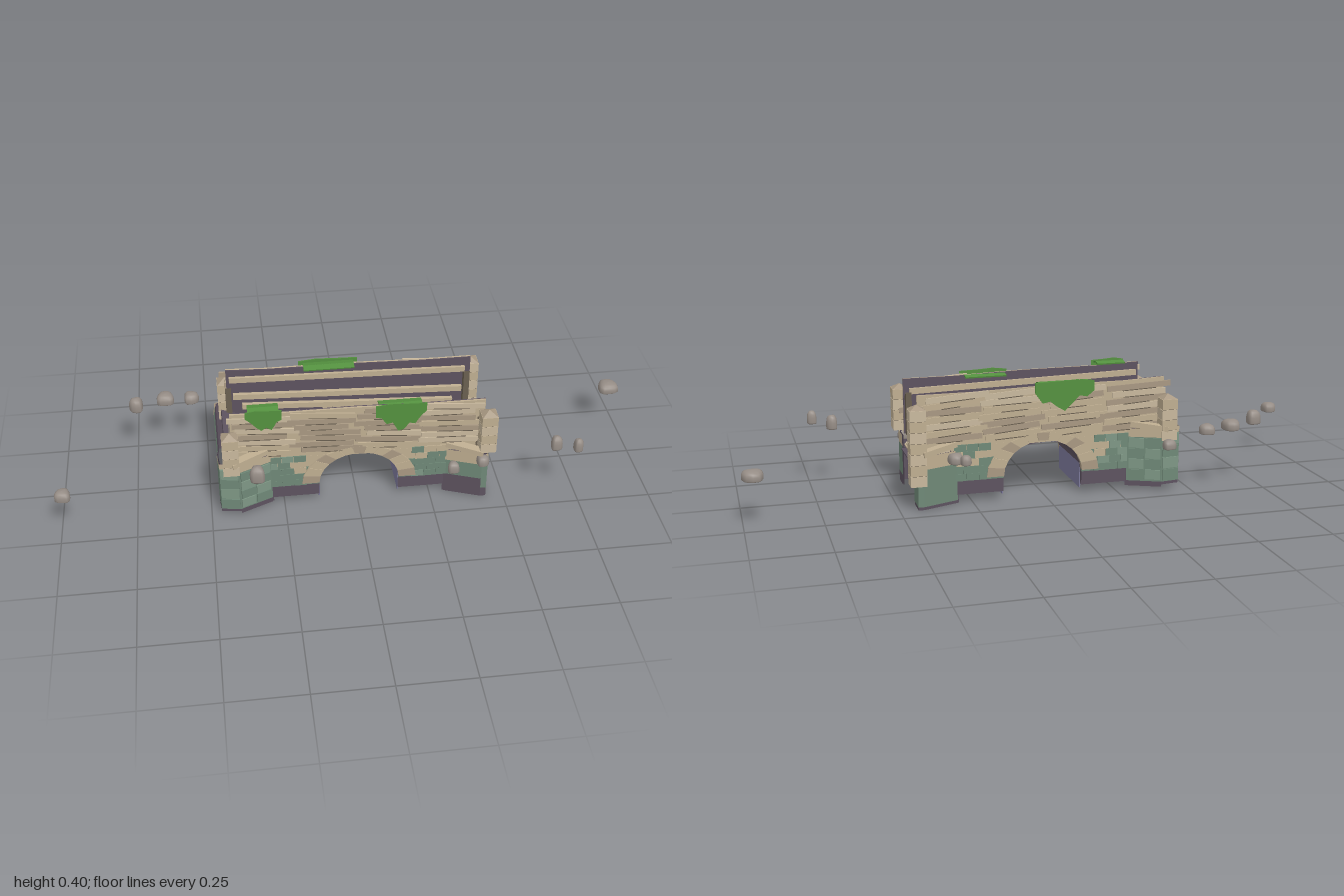
import * as THREE from 'three';

const mat = (name, color, flat = true) => {
  const m = new THREE.MeshStandardMaterial({ color, side: THREE.DoubleSide });
  m.name = name;
  m.flatShading = flat;
  return m;
};

export function createModel() {
  const root = new THREE.Group();
  root.name = 'ruinedBridge';
  const tan = mat('tan stone', 0xbfae91), pale = mat('pale stone', 0xc8b89d), dim = mat('worn stone', 0xa89882);
  const moss = mat('mossy stone', 0x6f8877), mossLight = mat('pale mossy stone', 0x7e9785);
  const purple = mat('dark purple', 0x5d525f), blue = mat('slate blue', 0x7c799a);
  const ivy = mat('ivy green', 0x54913f), rockMat = mat('rock grey', 0x968d86, false), joint = mat('joint brown', 0x6a5f50);

  let seed = 7;
  const rnd = () => (seed = (seed * 16807) % 2147483647) / 2147483647;
  const add = (name, geo, m) => {
    const mesh = new THREE.Mesh(geo, m);
    mesh.name = name;
    root.add(mesh);
    return mesh;
  };
  const box = (name, m, w, h, d, x, y, z, rz = 0) => {
    const mesh = add(name, new THREE.BoxGeometry(w, h, d), m);
    mesh.position.set(x, y, z);
    mesh.rotation.z = rz;
    return mesh;
  };
  // Upright plate from an outline in x and y, centred on z
  const plate = (name, m, pts, z, depth) => {
    const shape = new THREE.Shape(pts.map(p => new THREE.Vector2(p[0], p[1])));
    const geo = new THREE.ExtrudeGeometry(shape, { depth, bevelEnabled: false });
    return add(name, geo.translate(0, 0, z - depth / 2), m);
  };
  // Upright sheet following a path of [x, z] points
  const sheet = (name, m, path, y0, y1) => {
    const pos = [], idx = [];
    path.forEach(([x, z], i) => {
      pos.push(x, y0, z, x, y1, z);
      if (i) idx.push(2 * i - 2, 2 * i, 2 * i + 1, 2 * i - 2, 2 * i + 1, 2 * i - 1);
    });
    const geo = new THREE.BufferGeometry();
    geo.setAttribute('position', new THREE.Float32BufferAttribute(pos, 3));
    geo.setIndex(idx);
    geo.computeVertexNormals();
    return add(name, geo, m);
  };

  // Arch opening and sloping heights
  const AX = 0.136, AY = 0.115, AC = 0.08, CX = 0.006;
  const archX = y => y <= AC ? AX : AX * Math.sqrt(Math.max(0, 1 - ((y - AC) / AY) ** 2));
  const profile = [[-0.37, 0.2], [0, 0.198], [0.34, 0.168], [0.43, 0.143]];
  const deckY = x => {
    let i = 0;
    while (i < 2 && x > profile[i + 1][0]) i++;
    const [a, b] = [profile[i], profile[i + 1]];
    return a[1] + (b[1] - a[1]) * (x - a[0]) / (b[0] - a[0]);
  };
  const topY = x => 0.38 - 0.016 * x;

  // Deck slab, bedding and paving
  for (let i = 0; i < 3; i++) {
    const [a, b] = [profile[i], profile[i + 1]];
    const w = Math.hypot(b[0] - a[0], b[1] - a[1]), tilt = Math.atan2(b[1] - a[1], b[0] - a[0]);
    const x = (a[0] + b[0]) / 2, y = (a[1] + b[1]) / 2;
    box('deckSlab', purple, w, 0.006, 0.245, x, y - 0.011, 0, tilt);
    box('deckBedding', tan, w, 0.006, 0.245, x, y - 0.002, 0, tilt);
  }
  const COLS = 14, STEP = 0.79 / COLS;
  for (let j = 0; j < 6; j++) for (let i = 0; i < COLS; i++) {
    const x = -0.362 + STEP * (i + 0.5);
    const slope = Math.atan2(deckY(x + 0.02) - deckY(x - 0.02), 0.04);
    box('paver', rnd() < 0.75 ? tan : pale, STEP - 0.0008, 0.008, 0.0378,
      x, deckY(x) + 0.002 + rnd() * 0.0025, (j - 2.5) * 0.0385, slope);
  }
  box('apron', tan, 0.04, 0.012, 0.27, 0.405, 0.143, 0, -0.3);
  box('endSill', purple, 0.022, 0.005, 0.21, 0.433, 0.132, 0);
  box('raisedEnd', purple, 0.088, 0.008, 0.22, -0.402, 0.216, 0, -0.37);

  // Abutment faces
  for (const [x, top] of [[-0.3, 0.185], [CX - AX, AC + 0.02], [CX + AX, AC + 0.02], [0.31, 0.15]])
    box('abutmentFace', blue, 0.004, top - 0.012, 0.24, x, (top + 0.012) / 2, 0.004);
  // Arch soffit
  const soffit = new THREE.CylinderGeometry(1, 1, 0.25, 20, 1, true, Math.PI / 2, Math.PI);
  soffit.rotateX(Math.PI / 2).scale(AX, AY, 1);
  add('archSoffit', soffit, purple).position.set(CX, AC, 0);

  for (const s of [1, -1]) {
    // Wall bands beside the arch
    const band = (name, m, dir, outer, y0, y1, z, depth) => {
      const pts = [[outer, y0]];
      for (let k = 0; k <= 8; k++) {
        const y = y0 + (y1 - y0) * k / 8;
        pts.push([CX + dir * archX(y), y]);
      }
      pts.push([outer, y1]);
      plate(name, m, pts, z, depth);
    };
    for (const [dir, outer] of [[-1, -0.31], [1, 0.32]]) {
      band('wallBase', purple, dir, outer, 0.027, 0.074, s * 0.128, 0.01);
      band('wallMoss', moss, dir, outer, 0.074, 0.15, s * 0.129, 0.012);
      band('wallUpper', tan, dir, outer, 0.15, 0.195, s * 0.129, 0.012);
      band('wallLining', purple, dir, outer, 0.027, 0.195, s * 0.12, 0.004);
      // Single blocks, mossy higher up on the raised side
      for (let r = 0; r < 5; r++) for (let c = 0; c < 3; c++) {
        const y = 0.0865 + r * 0.025, x = CX + dir * (0.2 + c * 0.042 + (r % 2) * 0.012);
        const mossy = r < 2 || (dir < 0 && c > 0);
        const m = mossy ? (rnd() < 0.4 ? mossLight : moss) : (rnd() < 0.25 ? moss : tan);
        box('wallBlock', m, 0.041, 0.0245, 0.006, x, y, s * (0.1335 + rnd() * 0.002));
      }
    }
    // Arch ring stones
    const N = 13;
    for (let i = 0; i < N; i++) {
      const a = Math.PI * (i + 0.02) / N, b = Math.PI * (i + 0.98) / N;
      const p = (t, rx, ry) => [CX + rx * Math.cos(t), AC + ry * Math.sin(t)];
      plate('archStone', i % 3 ? tan : dim,
        [p(a, AX, AY), p(a, 0.195, 0.142), p(b, 0.195, 0.142), p(b, AX, AY)], s * 0.131, 0.018);
    }

    // Parapet: stone outside, dark lining inside
    const outline = [[-0.42, 0.195], [0.43, 0.18], [0.43, topY(0.43)], [0.25, topY(0.25) - 0.003],
      [0, topY(0)], [-0.28, topY(-0.28) - 0.004], [-0.42, topY(-0.42)]];
    plate('parapet', tan, outline, s * 0.131, 0.007);
    plate('parapetLining', purple, outline, s * 0.1255, 0.004);
    // Weathered courses on the outer face
    for (let r = 0; r < 7; r++) for (let c = 0; c < 4; c++) {
      const x = -0.315 + c * 0.21 + (rnd() - 0.5) * 0.04, y = 0.222 + r * 0.023;
      const tilt = -0.02 - rnd() * 0.07;
      box('parapetCourse', [tan, pale, dim][Math.floor(rnd() * 3)], 0.18 + rnd() * 0.05, 0.019, 0.007,
        x, y, s * 0.136, tilt);
      box('courseGap', joint, 0.06 + rnd() * 0.08, 0.003, 0.004, x, y - 0.011, s * 0.138, tilt);
    }
    // Inner rails
    for (const [y, z, tilt, w] of [[0.34, 0.12, -0.025, 0.82], [0.27, 0.112, -0.04, 0.8], [0.222, 0.115, -0.05, 0.74]])
      box('innerRail', tan, w, 0.02, 0.014, 0, y, s * z, tilt);

    // Splayed wing walls with dark inner faces
    const flip = path => path.map(([x, z]) => [x, s * z]);
    const left = flip([[-0.29, 0.136], [-0.4, 0.185], [-0.465, 0.175], [-0.47, 0.12]]);
    const right = flip([[0.3, 0.136], [0.42, 0.182], [0.44, 0.182], [0.44, 0.11]]);
    const inset = path => path.map(([x, z]) => [x - Math.sign(x) * 0.004, z - s * 0.004]);
    const wing = (path, bottom, baseTop, mossTop, top) => {
      sheet('wingBase', purple, path, bottom, baseTop);
      sheet('wingMoss', moss, path, baseTop, mossTop);
      sheet('wingTop', tan, path, mossTop, top);
      sheet('wingLining', purple, inset(path), bottom, top);
    };
    wing(left.slice(0, 2), 0.012, 0.03, 0.185, 0.215);
    wing(left.slice(1), 0.02, 0.03, 0.2, 0.22);
    const front = s > 0;
    wing(right.slice(0, 2), 0, front ? 0.075 : 0.01, 0.135, 0.18);
    wing(right.slice(1), 0, front ? 0.035 : 0.01, front ? 0.14 : 0.08, 0.18);
    // Wing blocks
    for (let r = 0; r < 4; r++) for (const k of [0, 1]) {
      const m = (r + k) % 2 ? mossLight : moss;
      box('wingBlock', m, 0.052, 0.034, 0.005, -0.32 - k * 0.052, 0.054 + r * 0.037,
        s * (0.151 + k * 0.023)).rotation.y = s * 0.42;
      box('wingEndBlock', m, 0.06, 0.038, 0.005, -0.433, 0.054 + r * 0.042, s * 0.181).rotation.y = -s * 0.15;
    }

    // Sloping copings and dark parapet returns
    for (const dir of [-1, 1]) {
      box('wingCoping', tan, 0.13, 0.018, 0.03, dir * 0.365, dir < 0 ? 0.222 : 0.195, s * 0.155, -dir * 0.12)
        .rotation.y = -dir * s * 0.4;
      const wedge = new THREE.Shape([[0.1, 0.18], [0.135, 0.18], [0.135, 0.305], [0.1, 0.33]]
        .map(([z, y]) => new THREE.Vector2(-s * z, y)));
      const geo = new THREE.ExtrudeGeometry(wedge, { depth: 0.02, bevelEnabled: false });
      add('parapetReturn', geo.rotateY(Math.PI / 2), joint).position.x = dir * 0.415 - 0.01;
    }

    // Capped corner pillars with course joints
    for (const [x, y0, y1] of [[-0.425, 0.175, 0.318], [0.437, front ? 0.19 : 0.08, 0.335]]) {
      const z = s * 0.162, n = Math.round((y1 - y0) / 0.036), h = (y1 - y0) / n;
      for (let i = 0; i < n; i++)
        box('pillarStone', i % 2 ? tan : pale, 0.054, h - 0.0015, 0.053, x, y0 + h * (i + 0.5), z);
      box('pillarCore', joint, 0.05, y1 - y0 - 0.002, 0.05, x, (y0 + y1) / 2, z);
      const cap = add('pillarCap', new THREE.ConeGeometry(0.037, 0.016, 4), dim);
      cap.rotation.y = Math.PI / 4;
      cap.position.set(x, y1 + 0.008, z);
    }
  }

  // Ivy: ragged hanging sheet and a folded top over the parapet
  const drape = (x0, x1, top, fold, drops, s) => {
    const w = x1 - x0, n = drops.length - 1;
    const pts = [[x0, top - 0.006], [x0 + w * 0.3, top], [x0 + w * 0.6, top - 0.003], [x1, top - 0.005]];
    for (let i = n; i >= 0; i--) pts.push([x0 + w * i / n, top - drops[i]]);
    plate('ivyHanging', ivy, pts, s * 0.1425, 0.004);
    for (const t of [-1, 1]) {
      const leaf = box('ivyTop', ivy, w * 0.85, 0.005, 0.024, (x0 + x1) / 2, fold, s * 0.117 + t * 0.011);
      leaf.rotation.x = t * 0.2;
    }
  };
  drape(-0.37, -0.25, 0.402, 0.393, [0.03, 0.045, 0.065, 0.08, 0.07, 0.08, 0.05, 0.04], 1);
  drape(0.06, 0.23, 0.39, 0.372, [0.05, 0.055, 0.08, 0.075, 0.11, 0.105, 0.08, 0.085, 0.055, 0.035], 1);
  drape(-0.17, 0.035, 0.397, 0.385, [0.04, 0.06, 0.055, 0.08, 0.105, 0.09, 0.07, 0.075, 0.04], -1);

  // Flat-bottomed rocks: x, base y, z, width, height
  const rocks = [[-0.978, 0.148, 0.2, 0.052, 0.034], [-0.735, 0.212, -0.18, 0.047, 0.048],
    [-0.635, 0.208, -0.22, 0.06, 0.036], [-0.545, 0.201, -0.225, 0.052, 0.034],
    [0.668, 0.196, 0.197, 0.038, 0.049], [0.732, 0.21, 0.235, 0.032, 0.046],
    [0.962, 0.147, -0.18, 0.07, 0.034], [0.285, 0.15, -0.205, 0.036, 0.032],
    [0.312, 0.148, -0.172, 0.05, 0.034], [0.315, 0.145, 0.213, 0.038, 0.037],
    [-0.34, 0.145, 0.178, 0.05, 0.056], [0.42, 0.147, 0.19, 0.042, 0.034], [-0.42, 0.15, -0.2, 0.045, 0.032]];
  const square = v => Math.sign(v) * Math.abs(v) ** 0.75;
  for (const [x, y, z, w, h] of rocks) {
    const geo = new THREE.SphereGeometry(1, 12, 9), p = geo.attributes.position;
    for (let i = 0; i < p.count; i++) {
      const k = 1 + 0.08 * Math.sin(3 * Math.atan2(p.getZ(i), p.getX(i)) + x * 20);
      p.setXYZ(i, square(p.getX(i)) * k, Math.max(square(p.getY(i)), -0.4), square(p.getZ(i)) * k);
    }
    geo.scale(w / 2, h / 1.4, w / 2).computeVertexNormals();
    add('rock', geo, rockMat).position.set(x, y + h * 0.4 / 1.4, z);
  }
  return root;
}
